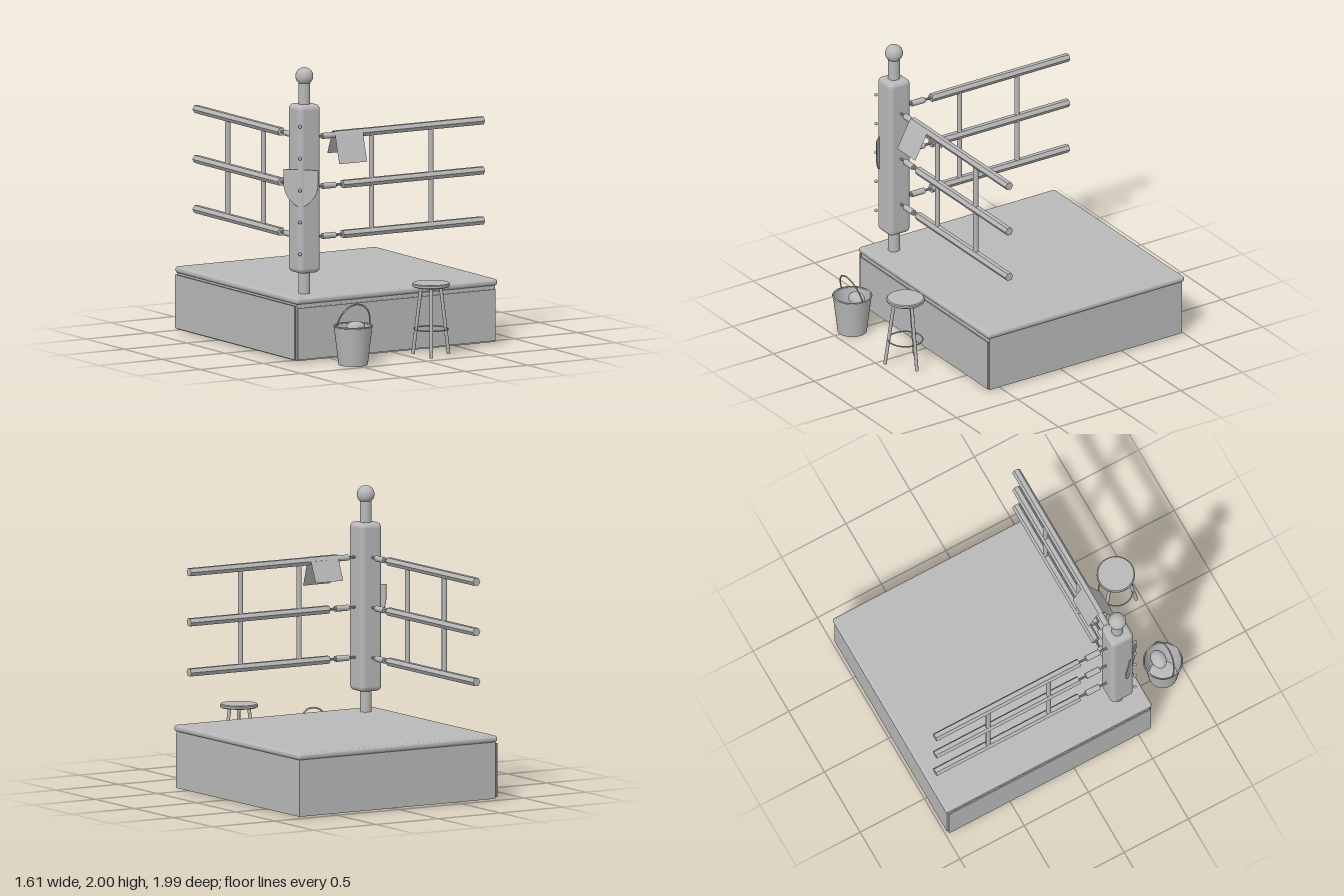
import * as THREE from 'three';
import { RoundedBoxGeometry } from 'three/addons/geometries/RoundedBoxGeometry.js';
import { toCreasedNormals } from 'three/addons/utils/BufferGeometryUtils.js';

const grey = new THREE.MeshStandardMaterial({ color: 0xb8b8b8, side: THREE.DoubleSide });
grey.name = 'plain grey';

const POST = { x: -0.63, z: 0.43 };

function add(parent, name, geometry, x = 0, y = 0, z = 0) {
  const mesh = new THREE.Mesh(geometry, grey);
  mesh.name = name;
  mesh.position.set(x, y, z);
  parent.add(mesh);
  return mesh;
}

function group(parent, name, x = 0, y = 0, z = 0) {
  const g = new THREE.Group();
  g.name = name;
  g.position.set(x, y, z);
  parent.add(g);
  return g;
}

// Cylinder lying along x from x0 to x1
function rod(parent, name, x0, x1, y, radius, sides, crease = 0.9) {
  const geo = new THREE.CylinderGeometry(radius, radius, x1 - x0, sides).rotateZ(Math.PI / 2);
  return add(parent, name, toCreasedNormals(geo, crease), (x0 + x1) / 2, y, 0);
}

// Cylinder between two points
function strut(parent, name, a, b, radius) {
  const dir = b.clone().sub(a);
  const mesh = add(parent, name, new THREE.CylinderGeometry(radius, radius, dir.length(), 12));
  mesh.position.copy(a).lerp(b, 0.5);
  mesh.quaternion.setFromUnitVectors(new THREE.Vector3(0, 1, 0), dir.normalize());
  return mesh;
}

// Three ropes with turnbuckles and two spacer bars, running along +x from the post centre
function ropeSide(parent, name) {
  const side = group(parent, name, POST.x, 0, POST.z);
  for (const y of [0.825, 1.17, 1.515]) {
    rod(side, 'turnbuckleRod', 0.05, 0.32, y, 0.009, 10);
    rod(side, 'turnbuckleSleeve', 0.14, 0.245, y, 0.021, 12);
    rod(side, 'rope', 0.3, 1.42, y, 0.03, 6, 0.3);
  }
  for (const x of [0.535, 1.007]) {
    add(side, 'ropeSpacer', new THREE.CylinderGeometry(0.018, 0.018, 0.69, 10), x, 1.17, 0);
  }
  return side;
}

// Draped cloth: rows of [x of left edge, y, z] joined into a sheet
function clothGeometry(rows, width) {
  const pos = [], index = [];
  rows.forEach(([x, y, z], i) => {
    pos.push(x, y, z, x + width, y, z);
    if (i) {
      const a = 2 * i - 2;
      index.push(a, a + 1, a + 2, a + 1, a + 3, a + 2);
    }
  });
  const geo = new THREE.BufferGeometry();
  geo.setAttribute('position', new THREE.Float32BufferAttribute(pos, 3));
  geo.setIndex(index);
  geo.computeVertexNormals();
  return toCreasedNormals(geo, 0.7);
}

function buildPlatform(parent) {
  const g = group(parent, 'platform');
  add(g, 'base', new THREE.BoxGeometry(1.575, 0.39, 1.575), 0.002, 0.205, -0.195);
  add(g, 'mat', new RoundedBoxGeometry(1.605, 0.045, 1.605, 4, 0.02), 0.002, 0.422, -0.193);
  add(g, 'frontSkirt', new THREE.BoxGeometry(1.57, 0.355, 0.008), 0, 0.197, 0.602);
  add(g, 'sideSkirt', new THREE.BoxGeometry(0.008, 0.37, 1.57), -0.803, 0.205, -0.193);
}

function buildPost(parent) {
  const g = group(parent, 'cornerPost', POST.x, 0, POST.z);
  add(g, 'pole', new THREE.CylinderGeometry(0.04, 0.04, 1.48, 24), 0, 1.17, 0);
  add(g, 'ballCap', new THREE.SphereGeometry(0.061, 28, 18), 0, 1.94, 0);
  add(g, 'pad', new RoundedBoxGeometry(0.172, 1.16, 0.172, 5, 0.035), 0, 1.17, 0);
  for (let i = 0; i < 5; i++) {
    add(g, 'padStud', new THREE.SphereGeometry(0.012, 12, 8), -0.088, 0.73 + 0.22 * i, 0.088);
  }
  // Shield plate across the outer corner
  const s = new THREE.Shape();
  s.moveTo(-0.122, 0.14);
  s.lineTo(-0.122, 0.04);
  s.quadraticCurveTo(-0.115, -0.075, 0, -0.125);
  s.quadraticCurveTo(0.115, -0.075, 0.122, 0.04);
  s.lineTo(0.122, 0.14);
  s.closePath();
  const geo = new THREE.ExtrudeGeometry(s, { depth: 0.008, bevelEnabled: false, curveSegments: 10 });
  add(g, 'shieldPlate', geo, -0.066, 1.17, 0.066).rotation.y = -Math.PI / 4;
}

function buildBucket(parent) {
  const g = group(parent, 'bucket', -0.5, 0, 0.857);
  const profile = [[0, 0], [0.1, 0], [0.132, 0.265], [0.127, 0.265], [0.095, 0.008], [0, 0.008]];
  const body = new THREE.LatheGeometry(profile.map(([r, y]) => new THREE.Vector2(r, y)), 36);
  add(g, 'bucketBody', toCreasedNormals(body, 0.6));
  add(g, 'bucketRim', new THREE.TorusGeometry(0.131, 0.006, 8, 36).rotateX(Math.PI / 2), 0, 0.268, 0);
  const handle = new THREE.TorusGeometry(0.13, 0.005, 8, 28, Math.PI).scale(1, 1.23, 1);
  add(g, 'bucketHandle', handle, 0, 0.268, 0).rotation.x = 0.3;
  add(g, 'sponge', new THREE.SphereGeometry(1, 20, 14).scale(0.07, 0.045, 0.052), 0.03, 0.25, -0.017);
}

function buildStool(parent) {
  const g = group(parent, 'stool', 0.13, 0, 0.84);
  add(g, 'seat', new RoundedSeat(), 0, 0, 0);
  for (let i = 0; i < 3; i++) {
    const a = (i * Math.PI * 2) / 3, c = Math.cos(a), s = Math.sin(a);
    strut(g, 'stoolLeg', new THREE.Vector3(0.14 * c, 0.008, 0.14 * s),
      new THREE.Vector3(0.075 * c, 0.49, 0.075 * s), 0.012);
  }
  add(g, 'footRing', new THREE.TorusGeometry(0.118, 0.005, 8, 36).rotateX(Math.PI / 2), 0, 0.192, 0);
}

// Disc seat with a softened edge
function RoundedSeat() {
  const profile = [[0, 0.482], [0.122, 0.482], [0.13, 0.488], [0.13, 0.502], [0.123, 0.508], [0, 0.508]];
  return toCreasedNormals(
    new THREE.LatheGeometry(profile.map(([r, y]) => new THREE.Vector2(r, y)), 40), 0.6);
}

export function createModel() {
  const model = new THREE.Group();
  model.name = 'ringCorner';
  buildPlatform(model);
  buildPost(model);
  ropeSide(model, 'frontRopes');
  ropeSide(model, 'sideRopes').rotation.y = Math.PI / 2;
  add(model, 'towel', clothGeometry([
    [-0.42, 1.33, 0.543], [-0.412, 1.42, 0.502], [-0.403, 1.51, 0.464], [-0.4, 1.542, 0.446],
    [-0.397, 1.542, 0.414], [-0.394, 1.51, 0.398], [-0.392, 1.375, 0.338],
  ], 0.222));
  buildBucket(model);
  buildStool(model);
  return model;
}
